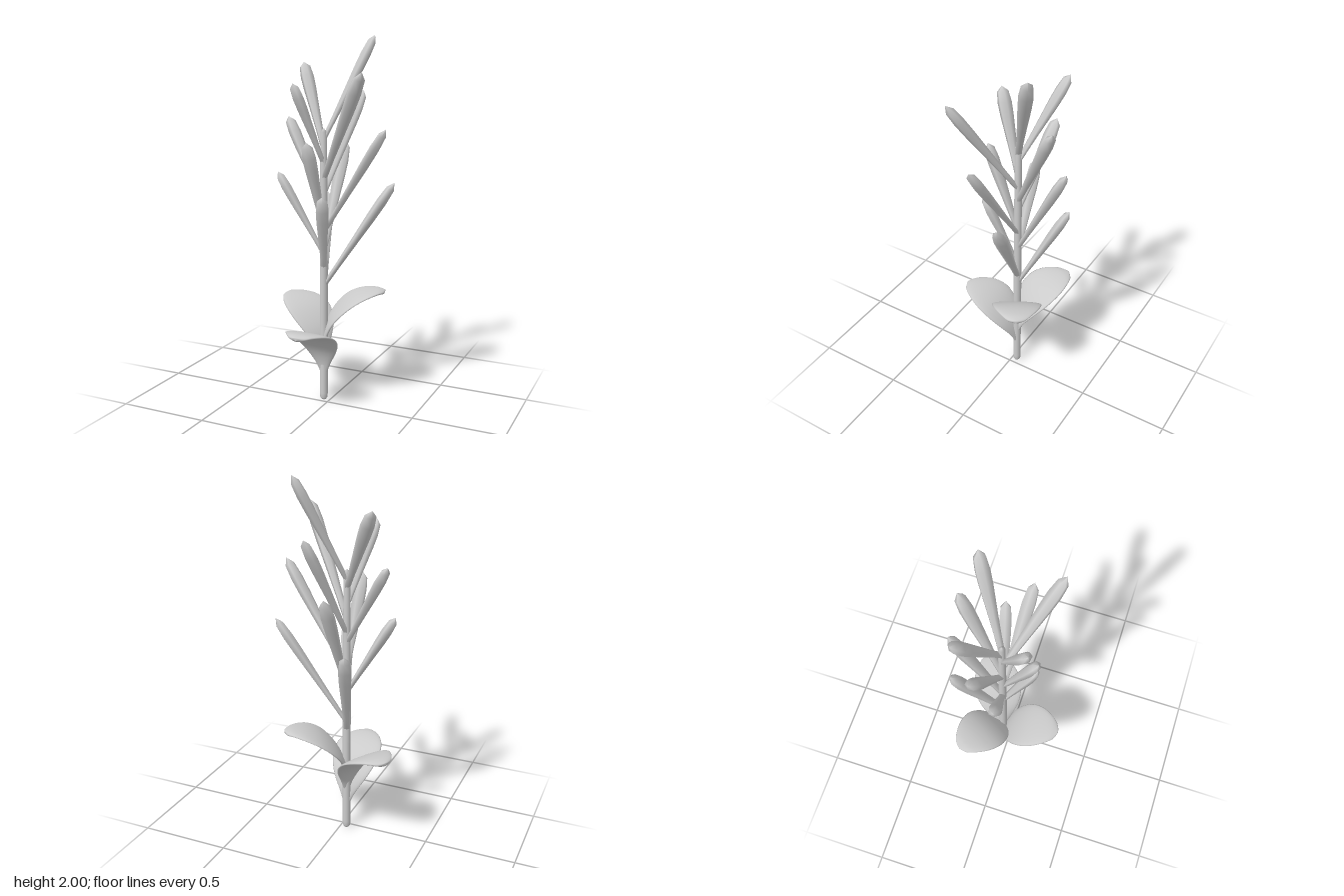
import * as THREE from 'three';

const material = new THREE.MeshStandardMaterial({ color: 0xcccccc });
const STEM_X = -0.035, STEM_Z = -0.03;

function lathe(profile, sides) {
  return new THREE.LatheGeometry(profile.map(([r, y]) => new THREE.Vector2(r, y)), sides);
}

// Curved leaf growing from the origin toward +z; profile points are (distance out, height, half width)
function leafGeometry() {
  const profile = new THREE.CatmullRomCurve3([
    [0, 0.15, 0.015], [0.01, 0.22, 0.045], [0.04, 0.30, 0.092], [0.09, 0.365, 0.125], [0.15, 0.415, 0.137],
    [0.22, 0.447, 0.122], [0.29, 0.46, 0.08], [0.325, 0.457, 0.045], [0.34, 0.452, 0],
  ].map((p) => new THREE.Vector3(...p)));
  const rows = 32, sides = 20, positions = [], index = [];
  for (let i = 0; i <= rows; i++) {
    const t = Math.sin((i / rows) * Math.PI / 2);
    const p = profile.getPoint(t), tangent = profile.getTangent(t);
    const len = Math.hypot(tangent.x, tangent.y) || 1;
    const normalZ = -tangent.y / len, normalY = tangent.x / len;
    const width = Math.max(p.z, 0), thickness = Math.min(0.013, width * 0.6);
    for (let j = 0; j < sides; j++) {
      const a = (j / sides) * Math.PI * 2, h = thickness * Math.sin(a);
      positions.push(width * Math.cos(a), p.y + normalY * h, p.x + normalZ * h);
      if (i === rows) continue;
      const k = (j + 1) % sides, r0 = i * sides, r1 = r0 + sides;
      index.push(r0 + j, r0 + k, r1 + j, r0 + k, r1 + k, r1 + j);
    }
  }
  const geometry = new THREE.BufferGeometry();
  geometry.setAttribute('position', new THREE.Float32BufferAttribute(positions, 3));
  geometry.setIndex(index);
  geometry.computeVertexNormals();
  return geometry;
}

// Flattened, faceted bud of unit length with a pointed tip
function budGeometry() {
  return lathe([
    [0, 0], [0.017, 0.005], [0.02, 0.2], [0.028, 0.45], [0.036, 0.68], [0.038, 0.82], [0.031, 0.94], [0, 1],
  ], 6).scale(1, 1, 0.72);
}

export function createModel() {
  const model = new THREE.Group();
  const add = (geometry, name) => {
    const mesh = new THREE.Mesh(geometry, material);
    mesh.name = name;
    model.add(mesh);
    return mesh;
  };

  // Stem with a rounded foot
  const stem = add(lathe([
    [0, 0], [0.014, 0.003], [0.021, 0.015], [0.022, 0.04], [0.022, 0.7], [0.02, 1.2], [0.017, 1.5], [0, 1.52],
  ], 16), 'stem');
  stem.position.set(STEM_X, 0, STEM_Z);

  // Three leaves spiralling up the stem
  const leaf = leafGeometry();
  [['frontLeaf', 0, 0], ['rightLeaf', -1, 0.09], ['leftLeaf', 1, 0.165]].forEach(([name, turn, lift]) => {
    const mesh = add(leaf, name);
    mesh.position.set(STEM_X, lift, STEM_Z);
    mesh.rotation.y = turn * Math.PI * 2 / 3;
  });

  // Buds in three tiers: tip x, y, z and the height where each leaves the stem
  const bud = budGeometry();
  const tiers = {
    lowerBud: [[0.33, 1.24, -0.13, 0.66], [-0.29, 1.28, 0.01, 0.84], [-0.13, 1.14, -0.285, 0.61], [0.035, 1.18, 0.14, 0.75]],
    middleBud: [[0.335, 1.53, 0.02, 0.96], [-0.285, 1.57, -0.11, 1.12], [-0.045, 1.46, 0.16, 0.98], [-0.03, 1.43, -0.31, 0.86]],
    upperBud: [[0.18, 2.0, -0.205, 1.46], [-0.235, 1.86, -0.2, 1.42], [0.27, 1.815, 0.185, 1.25],
      [-0.135, 1.755, 0.13, 1.33], [0.085, 1.71, -0.285, 1.17]],
  };
  const up = new THREE.Vector3(0, 1, 0);
  for (const [name, buds] of Object.entries(tiers)) {
    buds.forEach(([x, y, z, baseY], i) => {
      const base = new THREE.Vector3(STEM_X, baseY, STEM_Z);
      const along = new THREE.Vector3(x, y, z).sub(base);
      const length = along.length();
      along.normalize();
      const side = new THREE.Vector3().crossVectors(up, along).normalize();
      const face = new THREE.Vector3().crossVectors(side, along);
      const mesh = add(bud, name + (i + 1));
      mesh.position.copy(base);
      mesh.quaternion.setFromRotationMatrix(new THREE.Matrix4().makeBasis(side, along, face));
      mesh.scale.set(1, length, 1);
    });
  }
  return model;
}
